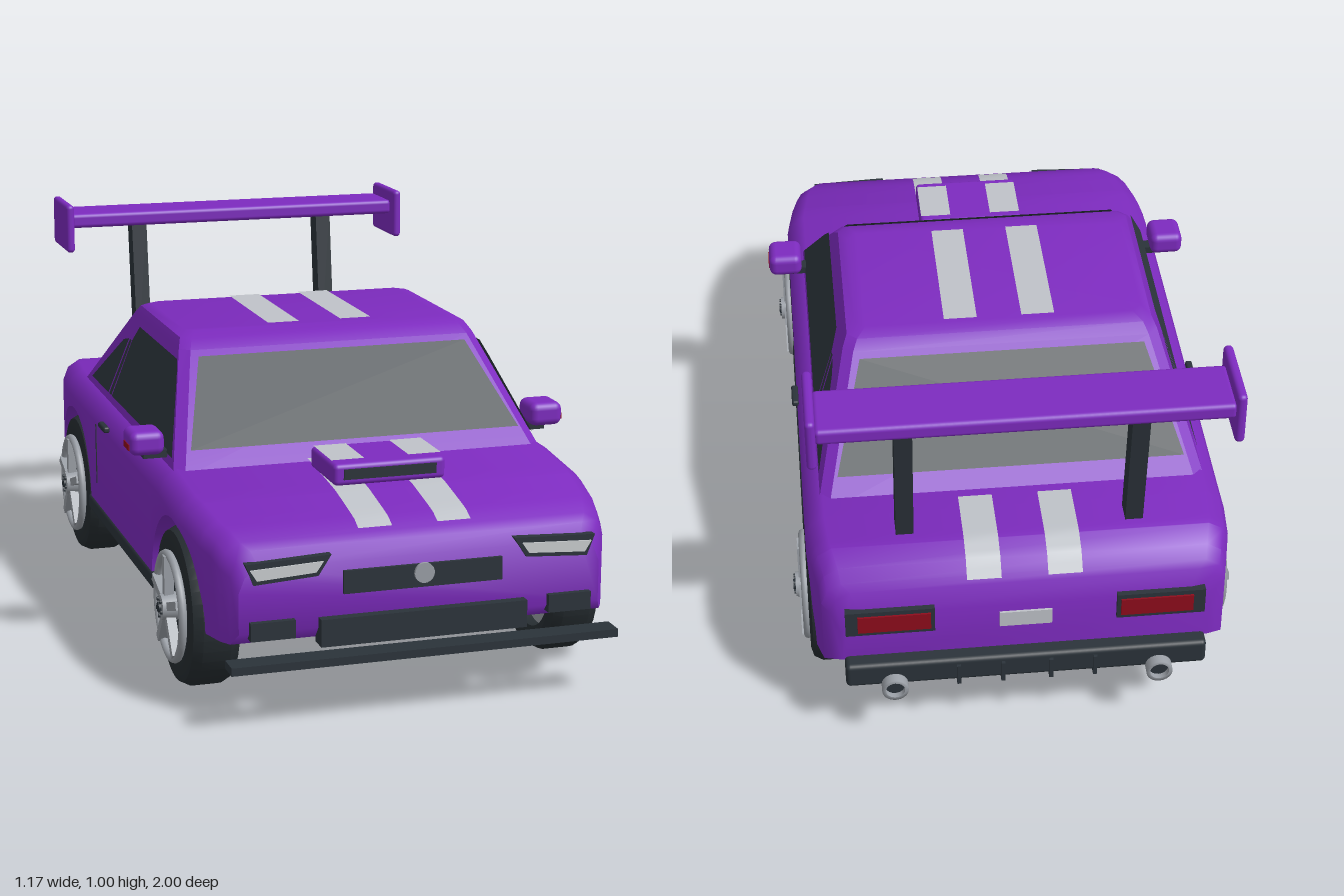
import * as THREE from 'three';
import { toCreasedNormals } from 'three/addons/utils/BufferGeometryUtils.js';
import { RoundedBoxGeometry } from 'three/addons/geometries/RoundedBoxGeometry.js';

const mat = (name, color, side = THREE.FrontSide) => {
  const m = new THREE.MeshStandardMaterial({ color, side });
  m.name = name;
  return m;
};
const paint = mat('purple paint', 0x7d2bbf);
const trim = mat('dark trim', 0x2b333a);
const glass = mat('dark glass', 0x2e373d, THREE.DoubleSide);
const rubber = mat('tyre rubber', 0x262d31);
const metal = mat('grey metal', 0x9a9fa6);
const stripe = mat('silver stripe', 0xbfc3c9, THREE.DoubleSide);
const lamp = mat('headlight lens', 0xc9cdcf);
const red = mat('red lens', 0x8f0c1c);

// Linear interpolation through [z, value] pairs
function lerpTable(table, z) {
  if (z <= table[0][0]) return table[0][1];
  for (let i = 1; i < table.length; i++) {
    const [z0, v0] = table[i - 1], [z1, v1] = table[i];
    if (z <= z1) return v0 + (v1 - v0) * (z - z0) / (z1 - z0);
  }
  return table[table.length - 1][1];
}
const TOP = [[-.935, .40], [-.915, .455], [-.875, .5], [-.82, .52], [-.6, .515], [.45, .51],
  [.7, .487], [.85, .458], [.92, .425], [.945, .39]];
const WIDTH = [[-.935, .455], [-.9, .5], [-.8, .522], [-.7, .53], [.65, .53], [.8, .512], [.89, .487], [.945, .455]];
const BOTTOM = [[-.935, .25], [-.9, .225], [-.82, .2], [.82, .19], [.92, .19], [.945, .23]];
const topY = z => lerpTable(TOP, z);
const ARCH = .225, AXLE = .6;

// Skin between equal rings of [x, y, z], capped at both ends
function loft(rings, crease) {
  const n = rings[0].length, index = [], last = (rings.length - 1) * n;
  for (let i = 0; i < rings.length - 1; i++)
    for (let j = 0; j < n; j++) {
      const a = i * n + j, b = i * n + (j + 1) % n;
      index.push(a, b, b + n, a, b + n, a + n);
    }
  for (let j = 1; j < n - 1; j++) index.push(0, j + 1, j, last, last + j, last + j + 1);
  const g = new THREE.BufferGeometry();
  g.setAttribute('position', new THREE.Float32BufferAttribute(rings.flat(2), 3));
  g.setIndex(index);
  return toCreasedNormals(g, crease);
}

// Lower body cross-sections, with wheel tunnels cut into the underside
function bodyGeometry() {
  const zs = [...TOP, ...WIDTH, ...BOTTOM].map(p => p[0]);
  for (const c of [-AXLE, AXLE])
    for (let i = 0; i <= 20; i++) zs.push(c + ARCH * Math.cos(Math.PI * i / 20));
  const stations = [...new Set(zs.map(z => Math.round(z * 1e4) / 1e4))].sort((a, b) => a - b);
  return loft(stations.map(z => {
    const w = lerpTable(WIDTH, z), t = topY(z), d = Math.abs(z) - AXLE;
    const b = Math.max(lerpTable(BOTTOM, z), .2 + Math.sqrt(Math.max(0, ARCH * ARCH - d * d)));
    const half = [[w, b], [w, t - .06], [w - .015, t - .022], [w - .05, t]];
    return [...half, ...half.map(([x, y]) => [-x, y]).reverse()].map(([x, y]) => [x, y, z]);
  }), .7);
}

// Cabin: stacked chamfered rectangles [y, half width, front z, rear z]
function cabinGeometry() {
  const c = .025;
  return loft([[.495, .492, .49, -.658], [.755, .405, .21, -.35], [.778, .393, .175, -.325], [.789, .37, .125, -.29]]
    .map(([y, w, f, r]) => [[w - c, f], [w, f - c], [w, r + c], [w - c, r],
      [c - w, r], [-w, r + c], [-w, f - c], [c - w, f]].map(([x, z]) => [x, y, z])), .5);
}

// Flat outline placed on a surface by a mapping rule
function panel(points, place) {
  const g = new THREE.ShapeGeometry(new THREE.Shape(points.map(p => new THREE.Vector2(...p))));
  const p = g.attributes.position;
  for (let i = 0; i < p.count; i++) p.setXYZ(i, ...place(p.getX(i), p.getY(i)));
  g.computeVertexNormals();
  return g;
}

function plate(points, depth) {
  const s = new THREE.Shape(points.map(p => new THREE.Vector2(...p)));
  return new THREE.ExtrudeGeometry(s, { depth, bevelEnabled: false });
}

function add(parent, name, geometry, material, x = 0, y = 0, z = 0) {
  const m = new THREE.Mesh(geometry, material);
  m.name = name;
  m.position.set(x, y, z);
  parent.add(m);
  return m;
}
const box = (w, h, d) => new THREE.BoxGeometry(w, h, d);
const round = (w, h, d, r) => new RoundedBoxGeometry(w, h, d, 3, r);

// Wheel with its outer face toward +x
function wheel() {
  const g = new THREE.Group();
  g.name = 'wheel';
  const profile = [[.138, -.055], [.165, -.065], [.188, -.058], [.2, -.035], [.2, .035],
    [.188, .058], [.165, .065], [.138, .06], [.138, -.055]].map(p => new THREE.Vector2(...p));
  const across = geo => geo.rotateZ(-Math.PI / 2);
  add(g, 'tyre', toCreasedNormals(across(new THREE.LatheGeometry(profile, 40)), .5), rubber);
  add(g, 'wheelBack', across(new THREE.CylinderGeometry(.139, .139, .01, 32)), metal, -.02);
  add(g, 'wheelWell', across(new THREE.CylinderGeometry(.139, .139, .01, 32)), trim, .04);
  add(g, 'rim', new THREE.TorusGeometry(.131, .011, 8, 40).rotateY(Math.PI / 2), metal, .07);
  add(g, 'hub', across(new THREE.CylinderGeometry(.032, .036, .04, 20)), metal, .075);
  add(g, 'hubCap', across(new THREE.CylinderGeometry(.013, .013, .008, 12)), trim, .097);
  for (let i = 0; i < 5; i++) {
    const a = i * Math.PI * 2 / 5;
    const spoke = add(g, 'spoke', box(.024, .108, .021).translate(0, .077, 0), metal, .074);
    spoke.rotation.x = a;
    const bolt = add(g, 'wheelBolt', across(new THREE.CylinderGeometry(.005, .005, .006, 8)), trim, .097);
    bolt.position.y = Math.cos(a + .6) * .022;
    bolt.position.z = Math.sin(a + .6) * .022;
  }
  return g;
}

export function createModel() {
  const car = new THREE.Group();
  car.name = 'sportsCar';
  add(car, 'body', bodyGeometry(), paint);
  add(car, 'cabin', cabinGeometry(), paint);

  // Windscreen and rear window
  const screen = [[-.44, .55], [.44, .55], [.365, .743], [-.365, .743]];
  add(car, 'windscreen', panel(screen, (x, y) => [x, y, .497 - (y - .5) * 1.077]), glass);
  add(car, 'rearWindow', panel(screen, (x, y) => [x, y + .005, -.664 + (y - .495) * 1.184]), glass);

  // Bonnet scoop
  add(car, 'scoop', round(.29, .055, .2, .012), paint, 0, .527, .6);
  add(car, 'scoopMouth', box(.24, .026, .008), trim, 0, .529, .7);

  // Nose
  add(car, 'upperGrille', box(.4, .057, .016), trim, 0, .338, .946);
  add(car, 'noseDisc', new THREE.CylinderGeometry(.025, .025, .008, 24).rotateX(Math.PI / 2), metal, 0, .346, .957);
  add(car, 'lowerGrille', box(.52, .068, .05), trim, 0, .222, .945);
  add(car, 'splitter', box(.975, .02, .06), trim, 0, .16, .97);

  // Rear bumper and plate
  add(car, 'rearBumper', round(.9, .07, .06, .012), trim, 0, .225, -.945);
  for (const x of [-.17, -.06, .06, .17]) add(car, 'diffuserFin', box(.01, .06, .03), trim, x, .215, -.968);
  add(car, 'rearPlate', box(.13, .045, .008), stripe, 0, .355, -.937);

  // Wing
  add(car, 'wingBlade', round(.99, .042, .16, .012), paint, 0, .947, -.835);

  for (const s of [-1, 1]) {
    // Side glass: door window, pillar strip, quarter window
    const onSide = (z, y) => [s * (.497 - .3346 * (y - .495)), y, z];
    const panes = {
      doorWindow: [[.425, .53], [.255, .70], [.215, .735], [-.215, .735], [-.25, .69], [-.28, .53]],
      pillarStrip: [[-.255, .69], [-.275, .69], [-.315, .53], [-.288, .53]],
      quarterWindow: [[-.285, .69], [-.335, .678], [-.545, .53], [-.325, .53]],
    };
    for (const [name, pts] of Object.entries(panes)) add(car, name, panel(pts, onSide), glass);

    // Racing stripes: bonnet, scoop, roof and boot
    const runs = [['bonnetStripe', .47, .885, topY], ['scoopStripe', .52, .67, () => .5535],
      ['roofStripe', -.285, .11, () => .788], ['bootStripe', -.91, -.665, topY]];
    for (const [name, z0, z1, height] of runs) {
      const g = new THREE.PlaneGeometry(.085, z1 - z0, 1, 14).rotateX(-Math.PI / 2).translate(s * .1, 0, (z0 + z1) / 2);
      const p = g.attributes.position;
      for (let i = 0; i < p.count; i++) p.setY(i, height(p.getZ(i)) + .006);
      g.computeVertexNormals();
      add(car, name, g, stripe);
    }

    // Headlights and fog lights
    const flip = pts => pts.map(([x, y]) => [s * x, y]);
    add(car, 'headlightFrame', plate(flip([[.23, .41], [.44, .402], [.42, .35], [.262, .36]]), .022), trim, 0, 0, .93);
    add(car, 'headlightLens', plate(flip([[.25, .396], [.43, .388], [.413, .361], [.268, .37]]), .008), lamp, 0, 0, .948);
    add(car, 'fogLight', box(.11, .045, .04), trim, s * .375, .237, .94);

    // Tail lights and exhausts
    add(car, 'tailLightFrame', box(.22, .075, .02), trim, s * .335, .375, -.935);
    add(car, 'tailLightLens', box(.18, .05, .008), red, s * .325, .375, -.946);
    const pipe = [[.024, -.05], [.033, -.05], [.033, .05], [.024, .05], [.024, -.05]].map(p => new THREE.Vector2(...p));
    add(car, 'exhaust', new THREE.LatheGeometry(pipe, 20).rotateX(Math.PI / 2), metal, s * .33, .195, -.95);
    add(car, 'exhaustCore', new THREE.CylinderGeometry(.025, .025, .07, 16).rotateX(Math.PI / 2), trim, s * .33, .195, -.95);

    // Wing struts and end plates
    const strut = add(car, 'wingStrut', box(.044, .43, .056), trim, s * .285, .725, -.785);
    strut.rotation.x = -.125;
    add(car, 'wingEndPlate', round(.024, .14, .205, .011), paint, s * .503, .93, -.822);

    // Mirrors
    add(car, 'mirrorStalk', box(.07, .02, .035), trim, s * .51, .527, .35);
    add(car, 'mirror', round(.09, .062, .1, .02), paint, s * .54, .562, .35);
    add(car, 'mirrorIndicator', box(.006, .016, .055), red, s * .584, .553, .357);

    // Sills, door handles and door seams
    add(car, 'sill', round(.06, .045, .8, .012), trim, s * .505, .2, 0);
    add(car, 'doorHandle', round(.018, .017, .075, .006), trim, s * .535, .472, -.16);
    add(car, 'doorSeam', box(.006, .17, .006), trim, s * .529, .365, -.288);

    for (const z of [-AXLE, AXLE]) {
      const w = wheel();
      w.position.set(s * .467, .2, z);
      if (s < 0) w.rotation.y = Math.PI;
      car.add(w);
    }
  }
  return car;
}
